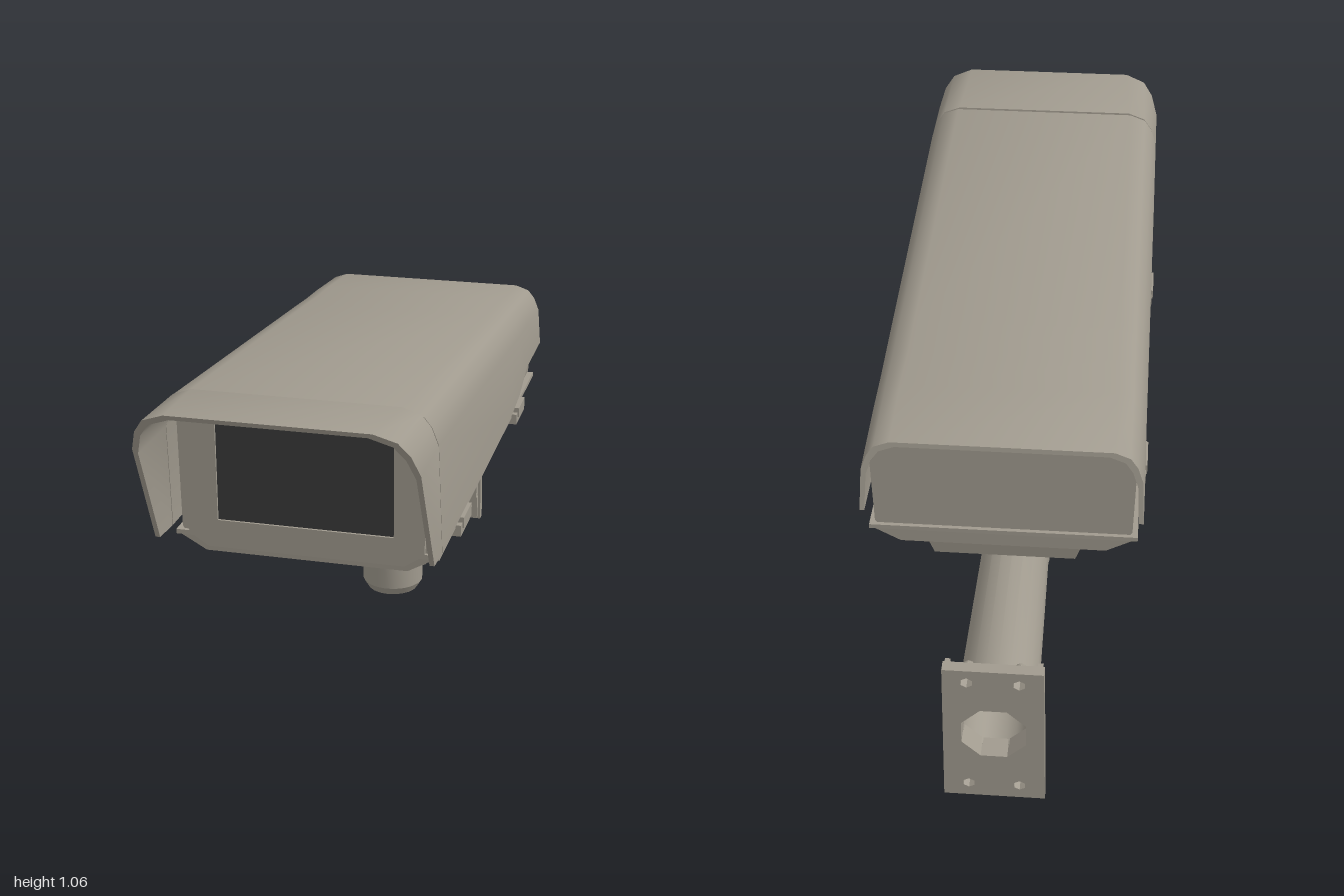
import * as THREE from 'three';
import { toCreasedNormals } from 'three/addons/utils/BufferGeometryUtils.js';

const housing = new THREE.MeshStandardMaterial({ color: 0xa09a8e, side: THREE.DoubleSide });
housing.name = 'warm grey housing';
const glass = new THREE.MeshStandardMaterial({ color: 0x3a3a3a });
glass.name = 'dark glass';

function add(parent, name, geometry, x = 0, y = 0, z = 0, material = housing) {
  const mesh = new THREE.Mesh(geometry, material);
  mesh.name = name;
  mesh.position.set(x, y, z);
  parent.add(mesh);
  return mesh;
}

// Capped solid through closed rings, ordered from front (+z) to back
function loft(rings) {
  const n = rings[0].length, index = [];
  for (let i = 0; i < rings.length - 1; i++) {
    for (let j = 0; j < n; j++) {
      const k = (j + 1) % n, a = i * n + j, b = i * n + k;
      index.push(a, a + n, b, b, a + n, b + n);
    }
  }
  const cap = r => THREE.ShapeUtils.triangulateShape(r.map(p => new THREE.Vector2(p[0], p[1])), []);
  const last = (rings.length - 1) * n;
  cap(rings[0]).forEach(([a, b, c]) => index.push(a, b, c));
  cap(rings[rings.length - 1]).forEach(([a, b, c]) => index.push(last + a, last + c, last + b));
  const g = new THREE.BufferGeometry();
  g.setAttribute('position', new THREE.Float32BufferAttribute(rings.flat(2), 3));
  g.setIndex(index);
  return toCreasedNormals(g, 0.6);
}

// Arched outline with rounded shoulders, right foot to left foot
function arch(w, yt, yb, c) {
  const half = [[w, yb], [w - 0.006, yt - 1.1 * c], [w - 0.01 - 0.14 * c, yt - 0.55 * c],
    [w - 0.01 - 0.4 * c, yt - 0.2 * c], [w - 0.01 - 0.95 * c, yt]];
  return half.concat(half.map(([x, y]) => [-x, y]).reverse());
}

// Thin bent sheet section; its plane leans from zt at the top to zb at the feet
function sheet([zt, zb, yt, yb, c]) {
  const t = 0.012;
  const ring = arch(0.348, yt, yb, c).concat(arch(0.348 - t, yt - t, yb, c).reverse());
  return ring.map(([x, y]) => [x, y, zb + (zt - zb) * (y - yb) / (yt - yb)]);
}

// Box whose underside is scaled inwards
function taperBox(w, h, d, kx, kz) {
  const g = new THREE.BoxGeometry(w, h, d), p = g.attributes.position;
  for (let i = 0; i < p.count; i++) {
    if (p.getY(i) < 0) p.setXYZ(i, p.getX(i) * kx, p.getY(i), p.getZ(i) * kz);
  }
  return toCreasedNormals(g, 0.3);
}

function polygon(PathType, points) {
  return new PathType(points.map(([x, y]) => new THREE.Vector2(x, y)));
}

function regular(cx, cy, r, n) {
  return Array.from({ length: n }, (_, i) => {
    const a = (i + 0.5) / n * Math.PI * 2;
    return [cx + r * Math.cos(a), cy + r * Math.sin(a)];
  });
}

function extrude(outline, holes, depth) {
  const s = polygon(THREE.Shape, outline);
  s.holes = holes.map(h => polygon(THREE.Path, h));
  return new THREE.ExtrudeGeometry(s, { depth, bevelEnabled: false });
}

const rect = (x, y0, y1) => [[-x, y0], [x, y0], [x, y1], [-x, y1]];

function lathe(points) {
  return toCreasedNormals(new THREE.LatheGeometry(points.map(([r, y]) => new THREE.Vector2(r, y)), 20), 0.5);
}

export function createModel() {
  const model = new THREE.Group();
  model.name = 'securityCamera';

  // Sloping roof cover, with its lower edge stepping up towards the back
  add(model, 'roofCover', loft([
    [0.77, 0.73, 1.037, 0.662, 0.08],
    [-0.25, -0.25, 0.955, 0.665, 0.075],
    [-0.37, -0.37, 0.945, 0.68, 0.075],
    [-0.5, -0.5, 0.935, 0.727, 0.07],
    [-0.712, -0.745, 0.917, 0.727, 0.07],
  ].map(sheet)));

  // Raked sun visor
  add(model, 'sunVisor', loft([
    [1.0, 0.82, 1.057, 0.668, 0.1],
    [0.773, 0.733, 1.041, 0.662, 0.085],
  ].map(sheet)));

  // Inner body, shallower at the back
  const bodyRing = (z, yt, k) => [
    [0.25, 0.597], [0.3, 0.612], [0.322, 0.65], [0.326, yt - 0.07], [0.305, yt - 0.025], [0.26, yt],
    [-0.26, yt], [-0.305, yt - 0.025], [-0.326, yt - 0.07], [-0.322, 0.65], [-0.3, 0.612], [-0.25, 0.597],
  ].map(([x, y]) => [x * k, 0.8 + (y - 0.8) * k, z]);
  add(model, 'body', loft([bodyRing(0.7, 1.012, 1), bodyRing(-0.69, 0.9, 1)]));

  // Front bezel around the window
  const bezel = [[0.25, 0.607], [0.3, 0.64], [0.31, 0.95], [0.26, 1.0]];
  add(model, 'frontBezel', extrude(
    bezel.concat(bezel.map(([x, y]) => [-x, y]).reverse()), [rect(0.224, 0.68, 0.933)], 0.014), 0, 0, 0.7);
  add(model, 'window', new THREE.BoxGeometry(0.448, 0.253, 0.008), 0, 0.8065, 0.704, glass);

  // Lower tray and its rim
  add(model, 'lowerTray', taperBox(0.66, 0.042, 1.41, 0.78, 0.998), 0, 0.614, 0.005);
  add(model, 'trayRim', new THREE.BoxGeometry(0.672, 0.012, 1.41), 0, 0.636, 0.005);

  // Side latches
  for (const side of [-1, 1]) {
    for (const z of [0.445, -0.38]) {
      const latch = new THREE.Group();
      latch.name = 'latch';
      add(latch, 'latchBase', new THREE.BoxGeometry(0.025, 0.03, 0.14), 0.338 * side, 0.625, z);
      add(latch, 'latchTab', new THREE.BoxGeometry(0.016, 0.028, 0.1), 0.346 * side, 0.64, z);
      model.add(latch);
    }
  }

  // Mounting blocks under the body
  add(model, 'mountRail', new THREE.BoxGeometry(0.46, 0.024, 0.655), 0, 0.588, -0.33);
  add(model, 'mountBlock', taperBox(0.45, 0.066, 0.43, 0.86, 0.96), 0, 0.545, -0.215);
  add(model, 'rearBlock', taperBox(0.4, 0.062, 0.22, 0.9, 0.92), 0, 0.548, -0.55);
  add(model, 'swivelPlate', taperBox(0.355, 0.046, 0.22, 0.88, 0.8), 0, 0.489, -0.222);

  // Ball joint and upright post
  add(model, 'ballJoint', lathe([[0, 0.335], [0.07, 0.335], [0.07, 0.395], [0.062, 0.412], [0.05, 0.44],
    [0.036, 0.455], [0.036, 0.458], [0.075, 0.472], [0, 0.472]]), 0, 0, -0.22);
  add(model, 'post', lathe([[0, 0.09], [0.075, 0.09], [0.09, 0.115], [0.09, 0.335], [0.085, 0.343],
    [0, 0.343]]), 0, 0, -0.22);

  // Hollow arm, narrowing where it meets the post
  const arm = lathe([[0.06, 0], [0.094, 0.06], [0.105, 0.7], [0.088, 0.7], [0.084, 0.12], [0, 0.12]]);
  arm.rotateX(-Math.PI / 2);
  add(model, 'arm', arm, 0, 0.232, -0.26);

  // Wall plate with a cable opening, pads and four bolts
  const wall = new THREE.Group();
  wall.name = 'wallPlate';
  const bore = regular(0, 0.232, 0.088, 8), bolts = [];
  for (const x of [-0.065, 0.065]) for (const y of [0.045, 0.41]) bolts.push([x, y]);
  add(wall, 'plate', extrude([[-0.13, 0], [0.13, 0], [0.125, 0.45], [-0.125, 0.45]],
    [bore, ...bolts.map(([x, y]) => regular(x, y, 0.016, 6))], 0.03), 0, 0, -1);
  add(wall, 'raisedCentre', extrude(rect(0.12, 0.09, 0.37), [bore], 0.03), 0, 0, -0.97);
  for (const [x, y] of bolts) {
    const bolt = new THREE.CylinderGeometry(0.028, 0.028, 0.014, 6).toNonIndexed();
    bolt.computeVertexNormals();
    bolt.rotateX(Math.PI / 2);
    add(wall, 'boltHead', bolt, x, y, -0.963);
    add(wall, 'boltTip', new THREE.CylinderGeometry(0.014, 0.014, 0.02, 8).rotateX(Math.PI / 2), x, y, -0.947);
  }
  for (const x of [-0.114, 0.114]) {
    for (const y of [0.047, 0.408]) add(wall, 'padCheek', new THREE.BoxGeometry(0.014, 0.075, 0.016), x, y, -0.963);
  }
  model.add(wall);
  return model;
}
